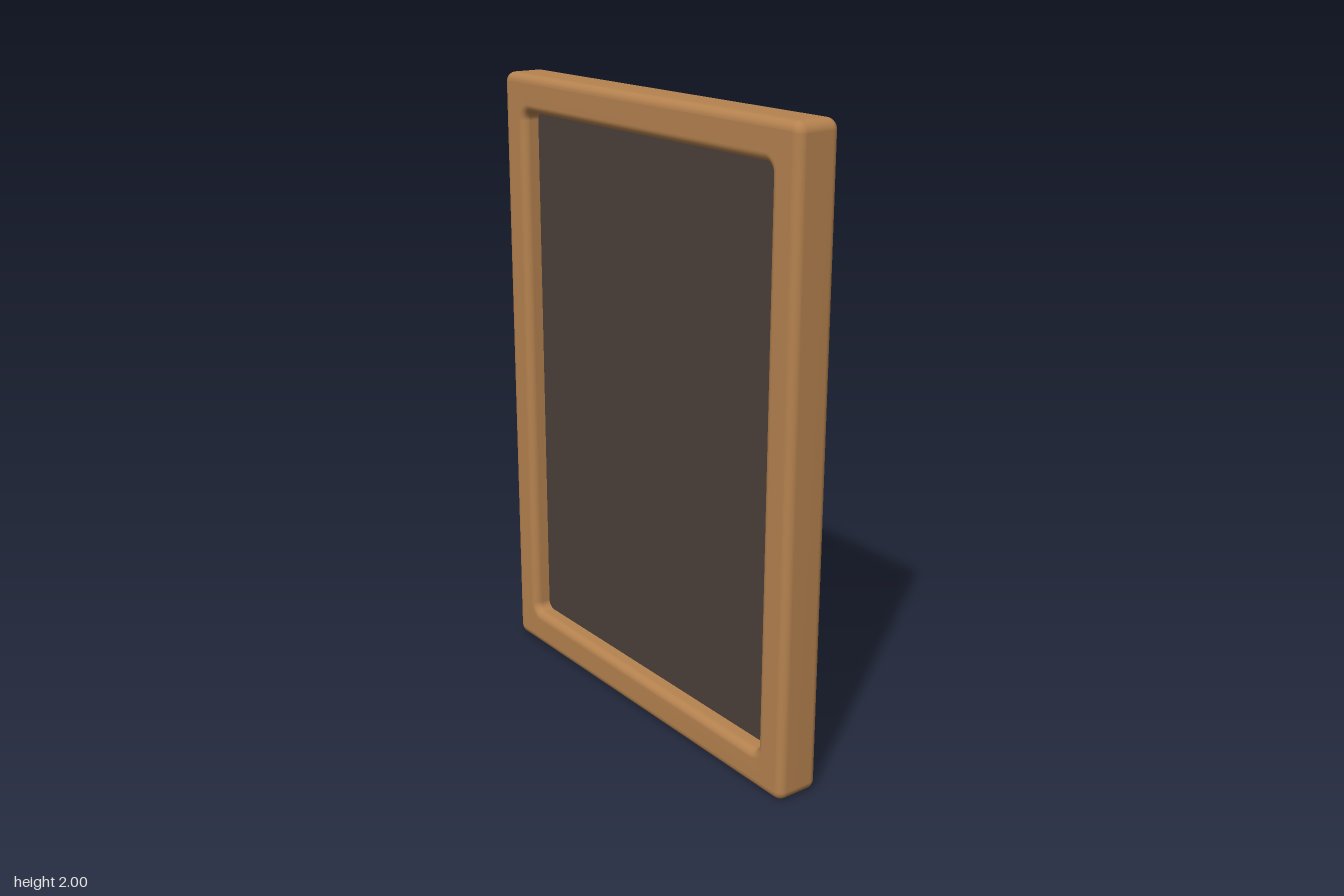
import * as THREE from 'three';
import { mergeVertices } from 'three/addons/utils/BufferGeometryUtils.js';

const HALF_Z = 0.717, HALF_Y = 1, THICK = 0.145; // outer size
const OPEN_Z = 0.605, OPEN_Y = 0.88;             // opening
const BEVEL = 0.027;

// Rounded rectangle, centred, built from four corner arcs
function roundedRect(path, w, h, r) {
  [[1, 1], [-1, 1], [-1, -1], [1, -1]].forEach(([sx, sy], i) => {
    const a = i * Math.PI / 2;
    path.absarc(sx * (w - r), sy * (h - r), r, a, a + Math.PI / 2, false);
  });
  path.closePath();
  return path;
}

export function createModel() {
  const wood = new THREE.MeshStandardMaterial({ color: 0xb5824f });
  wood.name = 'warm wood';
  const dark = new THREE.MeshStandardMaterial({ color: 0x4b403a });
  dark.name = 'dark brown';

  const group = new THREE.Group();
  group.name = 'framedPanel';

  // Frame with softly rounded edges, inside and out
  const shape = roundedRect(new THREE.Shape(), HALF_Z - BEVEL, HALF_Y - BEVEL, 0.006);
  shape.holes.push(roundedRect(new THREE.Path(), OPEN_Z + BEVEL, OPEN_Y + BEVEL, 0.055));
  const depth = THICK - 2 * BEVEL;
  let frameGeo = new THREE.ExtrudeGeometry(shape, {
    depth, bevelEnabled: true, bevelThickness: BEVEL, bevelSize: BEVEL,
    bevelSegments: 6, curveSegments: 6,
  });
  frameGeo.translate(0, 0, -depth / 2);
  // Shared vertices give smooth normals weighted by face area
  frameGeo.deleteAttribute('uv');
  frameGeo.deleteAttribute('normal');
  frameGeo = mergeVertices(frameGeo, 1e-5);
  frameGeo.computeVertexNormals();
  frameGeo.rotateY(Math.PI / 2);
  const frame = new THREE.Mesh(frameGeo, wood);
  frame.name = 'frame';
  frame.position.y = HALF_Y;
  group.add(frame);

  // Recessed panel, its rim hidden inside the frame
  const panel = new THREE.Mesh(
    new THREE.BoxGeometry(0.03, 2 * OPEN_Y + 0.04, 2 * OPEN_Z + 0.04), dark);
  panel.name = 'panel';
  panel.position.y = HALF_Y;
  group.add(panel);

  return group;
}
